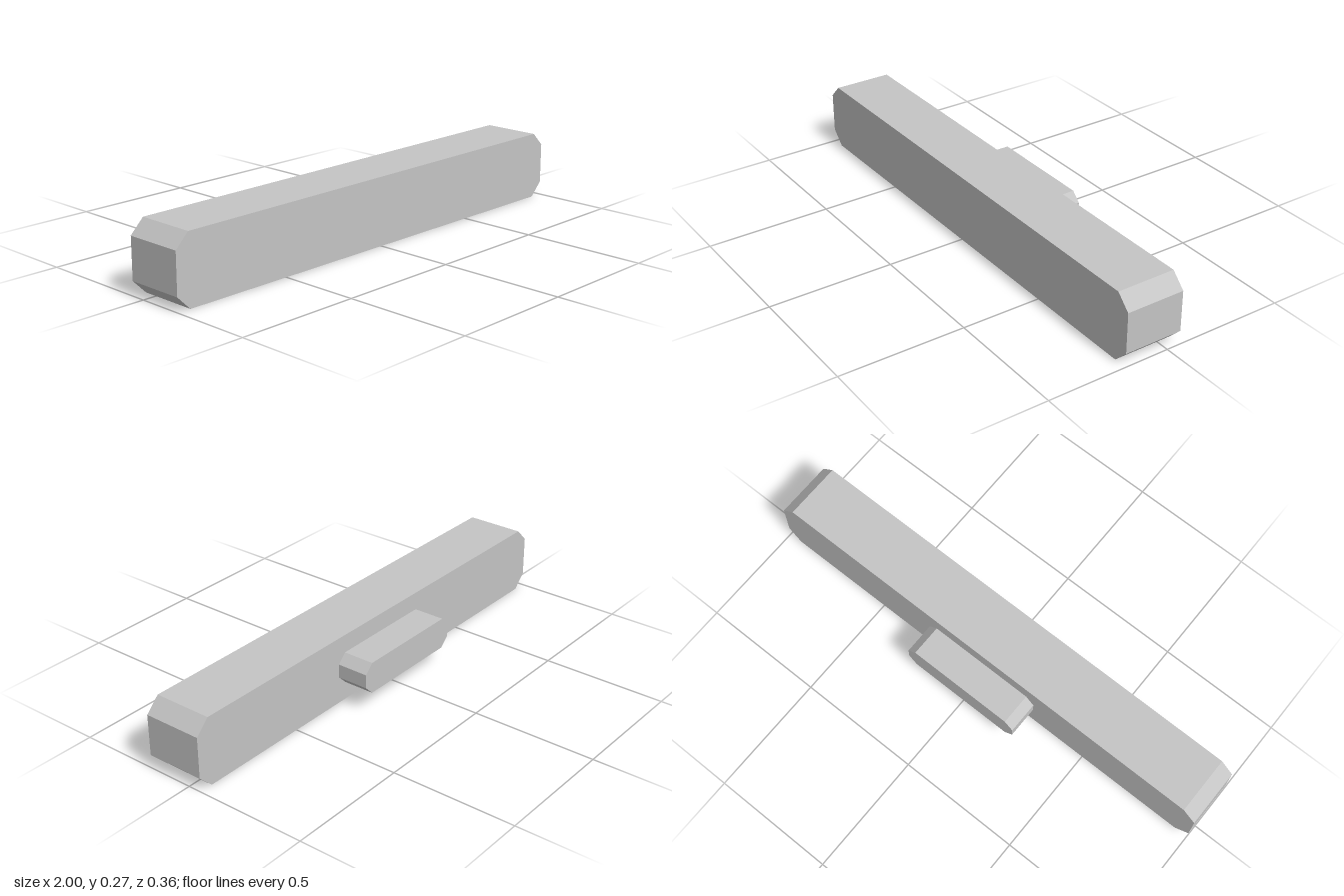
import * as THREE from 'three';

const grey = new THREE.MeshStandardMaterial({ color: 0xc4c4c4 });
grey.name = 'light grey';

// Bar with chamfered corners, running from zBack to zFront
function chamferedBar(name, halfWidth, y0, y1, chamfer, zBack, zFront) {
  const w = halfWidth, c = chamfer;
  const outline = new THREE.Shape([
    [-w + c, y0], [w - c, y0], [w, y0 + c], [w, y1 - c],
    [w - c, y1], [-w + c, y1], [-w, y1 - c], [-w, y0 + c],
  ].map(([x, y]) => new THREE.Vector2(x, y)));
  const geometry = new THREE.ExtrudeGeometry(outline, { depth: zFront - zBack, bevelEnabled: false });
  geometry.translate(0, 0, zBack);
  const mesh = new THREE.Mesh(geometry, grey);
  mesh.name = name;
  return mesh;
}

export function createModel() {
  const group = new THREE.Group();
  group.name = 'chamferedBarWithMount';
  group.add(
    chamferedBar('mainBar', 1, 0, 0.273, 0.055, -0.054, 0.182),
    chamferedBar('rearMount', 0.255, 0.073, 0.2, 0.036, -0.182, -0.054),
  );
  return group;
}
